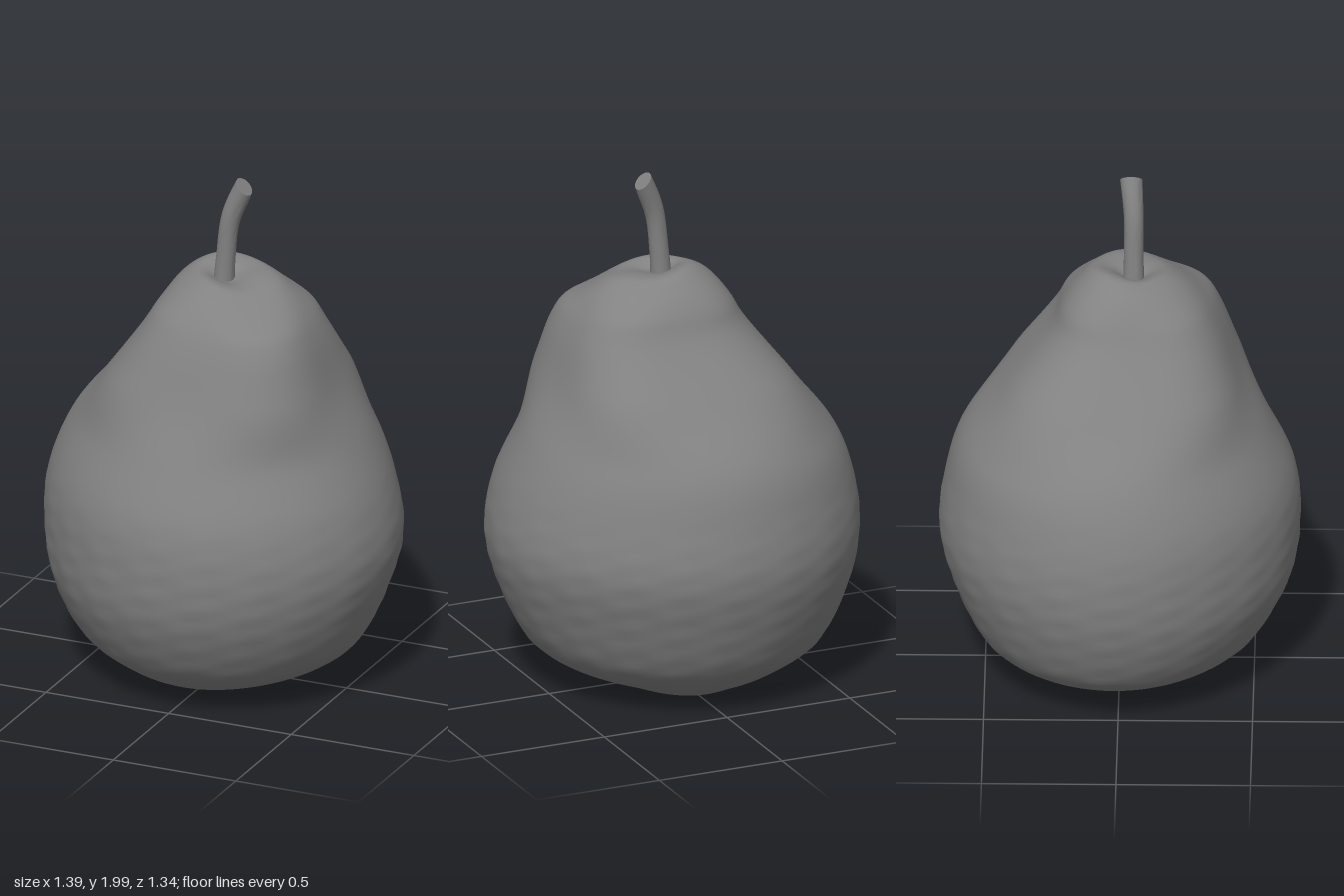
import * as THREE from 'three';
import { toCreasedNormals } from 'three/addons/utils/BufferGeometryUtils.js';

const material = new THREE.MeshStandardMaterial({ color: 0x828282 });
const { smoothstep } = THREE.MathUtils;

// Closed loops of points stacked from bottom to top: point(t, angle, target)
function loft(rows, sides, point) {
  const positions = [], index = [], p = new THREE.Vector3();
  for (let i = 0; i <= rows; i++) {
    for (let j = 0; j < sides; j++) {
      point(i / rows, (j / sides) * Math.PI * 2, p);
      positions.push(p.x, p.y, p.z);
    }
  }
  for (let i = 0; i < rows; i++) {
    for (let j = 0; j < sides; j++) {
      const a = i * sides + j, c = i * sides + (j + 1) % sides;
      index.push(a, a + sides, c, a + sides, c + sides, c);
    }
  }
  const geometry = new THREE.BufferGeometry();
  geometry.setAttribute('position', new THREE.Float32BufferAttribute(positions, 3));
  geometry.setIndex(index);
  geometry.computeVertexNormals();
  return geometry;
}

function addMesh(parent, name, geometry) {
  const mesh = new THREE.Mesh(geometry, material);
  mesh.name = name;
  parent.add(mesh);
  return mesh;
}

// Fruit sections: height, then least and greatest x, least and greatest z
const sections = [
  [0.09, 0, 0, 0, 0],
  [0.08, -0.05, 0.05, -0.05, 0.05],
  [0.04, -0.11, 0.1, -0.12, 0.1],
  [0.01, -0.21, 0.19, -0.23, 0.21],
  [0.05, -0.34, 0.31, -0.33, 0.33],
  [0.1, -0.44, 0.41, -0.42, 0.43],
  [0.2, -0.57, 0.54, -0.53, 0.54],
  [0.4, -0.66, 0.64, -0.62, 0.64],
  [0.6, -0.69, 0.69, -0.67, 0.67],
  [0.8, -0.67, 0.66, -0.65, 0.65],
  [1.0, -0.59, 0.58, -0.59, 0.56],
  [1.2, -0.43, 0.48, -0.43, 0.46],
  [1.4, -0.28, 0.41, -0.27, 0.38],
  [1.51, -0.21, 0.35, -0.21, 0.32],
  [1.58, -0.15, 0.29, -0.15, 0.26],
  [1.62, -0.09, 0.22, -0.1, 0.19],
  [1.62, -0.05, 0.14, -0.04, 0.14],
  [1.6, -0.01, 0.07, 0.01, 0.09],
  [1.59, 0.02, 0.02, 0.05, 0.05],
];

function createFruit() {
  const curve = (f) => new THREE.CatmullRomCurve3(sections.map(f), false, 'catmullrom', 0.5);
  const centres = curve(([y, x0, x1, z0, z1]) => new THREE.Vector3((x0 + x1) / 2, y, (z0 + z1) / 2));
  const radii = curve(([, x0, x1, z0, z1]) => new THREE.Vector3((x1 - x0) / 2, 0, (z1 - z0) / 2));
  return loft(140, 144, (t, angle, p) => {
    const c = centres.getPoint(t), r = radii.getPoint(t);
    // fuller diagonals on the neck, fine dimples on the lower half
    const s2 = Math.sin(2 * angle);
    const neck = smoothstep(c.y, 1.0, 1.25) * (1 - smoothstep(c.y, 1.48, 1.62));
    const low = smoothstep(c.y, 0.08, 0.2) * (1 - smoothstep(c.y, 0.5, 1.0));
    const dimples = 0.0025 * low * (Math.sin(19 * angle + 23 * c.y) * Math.sin(47 * c.y - 5 * angle)
      + Math.sin(13 * angle - 31 * c.y) * Math.sin(34 * c.y + 7 * angle));
    const k = 1 + (0.12 * neck - 0.012) * s2 * s2 + 0.03 * s2 + dimples;
    p.set(c.x + r.x * k * Math.cos(angle), c.y, c.z + r.z * k * Math.sin(angle));
    // sloping crown with soft lobes, and a base resting on its front and back
    const crown = smoothstep(c.y, 1.45, 1.62);
    const base = 1 - smoothstep(c.y, 0.02, 0.12);
    p.y -= crown * 0.1 * (p.x + p.z - 0.1);
    p.y += crown * r.x * 0.04 * Math.cos(3 * angle + 0.6);
    p.y += base * r.x * 0.06 * Math.cos(angle) ** 2;
  });
}

function createStem() {
  const path = new THREE.CatmullRomCurve3([
    new THREE.Vector3(0.02, 1.54, 0.05),
    new THREE.Vector3(0.03, 1.68, 0.05),
    new THREE.Vector3(0.05, 1.84, 0.05),
    new THREE.Vector3(0.1, 1.97, 0.04),
  ]);
  const rows = 20;
  const geometry = loft(rows, 24, (t, angle, p) => {
    // the last row closes the slanted cut
    const u = Math.min(1, t * rows / (rows - 1));
    path.getPoint(u, p);
    const radius = t === 1 ? 0 : 0.036 + 0.006 * (2 * u - 1) ** 2;
    const dx = radius * Math.cos(angle) * (1 - 0.35 * u ** 4);
    p.x += dx;
    p.z += radius * Math.sin(angle);
    p.y -= dx * u ** 2;
  });
  return toCreasedNormals(geometry, Math.PI / 5);
}

export function createModel() {
  const model = new THREE.Group();
  model.name = 'pear';
  addMesh(model, 'fruit', createFruit());
  addMesh(model, 'stem', createStem());

  // Dried flower remains in the hollow underneath
  const calyx = new THREE.Group();
  calyx.name = 'calyx';
  for (let i = 0; i < 5; i++) {
    const angle = (i / 5) * Math.PI * 2;
    const sepal = addMesh(calyx, 'sepal', new THREE.ConeGeometry(0.01, 0.03, 6));
    sepal.position.set(0.03 * Math.cos(angle), 0.08, 0.03 * Math.sin(angle));
    sepal.rotation.x = Math.PI;
  }
  model.add(calyx);
  return model;
}
